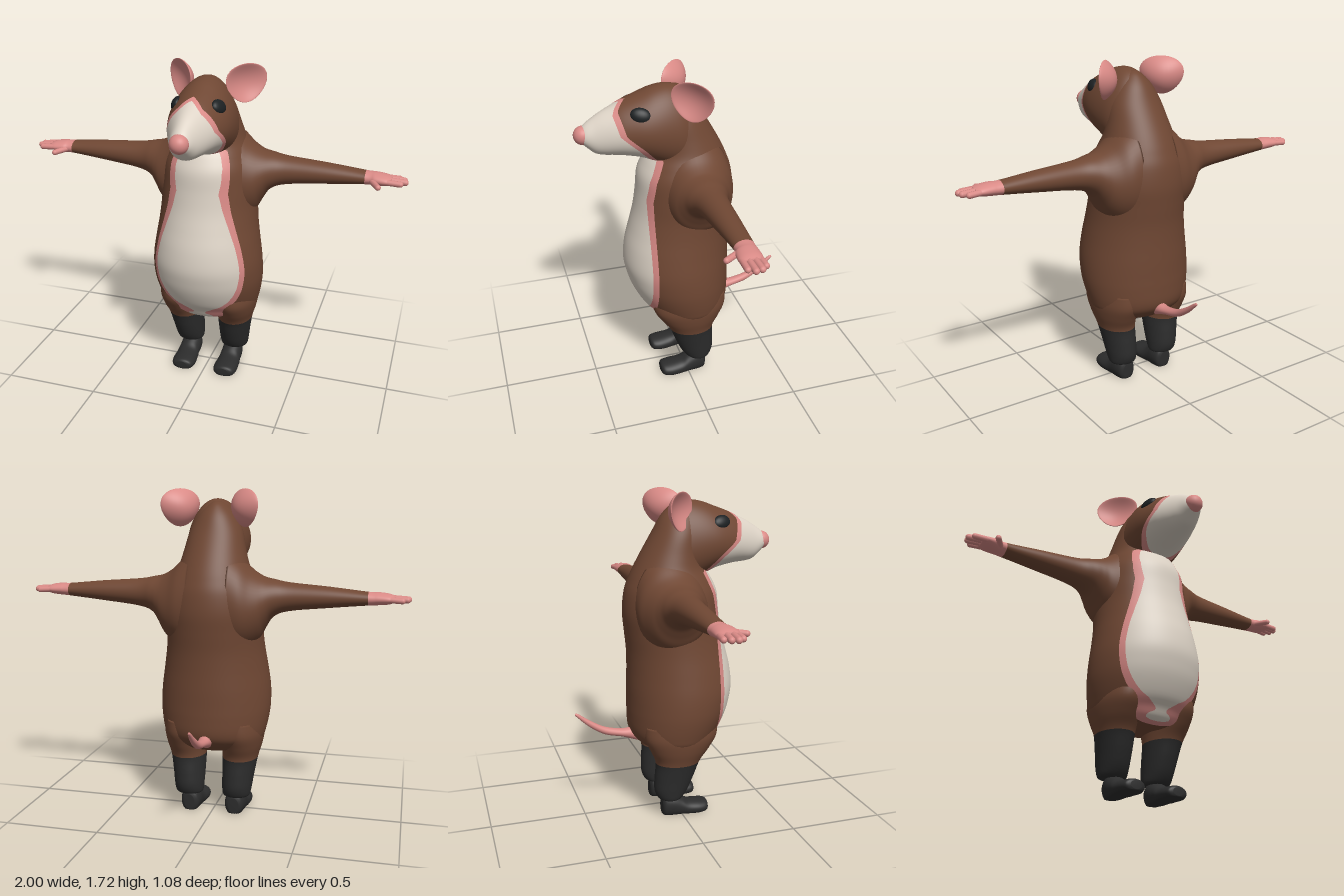
import * as THREE from 'three';

const paint = (name, color) => {
  const m = new THREE.MeshStandardMaterial({ color });
  m.name = name;
  return m;
};

// Piecewise-linear lookup in a list of [input, output] pairs
function lookup(table, t) {
  let i = 0;
  while (i < table.length - 2 && t > table[i + 1][0]) i++;
  const [a, b] = [table[i], table[i + 1]];
  const k = THREE.MathUtils.clamp((t - a[0]) / (b[0] - a[0]), 0, 1);
  return a[1] + (b[1] - a[1]) * k;
}

// Insert Catmull-Rom rows between the given section rows
function smoothRows(rows, steps = 5) {
  const out = [];
  for (let i = 0; i < rows.length - 1; i++) {
    const [p, q, r, s] = [rows[Math.max(i - 1, 0)], rows[i], rows[i + 1], rows[Math.min(i + 2, rows.length - 1)]];
    for (let k = 0; k < steps; k++) {
      const t = k / steps;
      out.push(q.map((c, j) => {
        const cubic = 3 * (c - r[j]) + s[j] - p[j];
        const square = 2 * p[j] - 5 * c + 4 * r[j] - s[j];
        return c + 0.5 * t * (r[j] - p[j] + t * (square + t * cubic));
      }));
    }
  }
  out.push(rows[rows.length - 1]);
  return out;
}

// Closed loft of oval sections. Row = [position on axis, aMax, aMin, bMax, bMin]
// axis 'y': a = z, b = x;  axis 'z': a = y, b = x;  axis 'x': a = y, b = z
function loft(axis, rows, { side = 1, egg = 0, segments = 48 } = {}) {
  const place = {
    x: (t, a, b) => [side * t, a, b],
    y: (t, a, b) => [side * b, t, a],
    z: (t, a, b) => [side * b, a, t],
  }[axis];
  const pos = [], idx = [];
  const add = (t, a, b) => {
    const [x, y, z] = place(t, a, b);
    pos.push(x, Math.max(0, y), z); // soles stay flat on the floor
  };
  const rings = smoothRows(rows);
  for (const [t, a1, a0, b1, b0] of rings) {
    for (let j = 0; j < segments; j++) {
      const u = (j / segments) * Math.PI * 2, s = Math.sin(u);
      add(t, (a1 + a0) / 2 + ((a1 - a0) / 2) * s, (b1 + b0) / 2 + ((b1 - b0) / 2) * Math.cos(u) * (1 - egg * s));
    }
  }
  const n = rings.length, last = (n - 1) * segments;
  for (const r of [rings[0], rings[n - 1]]) add(r[0], (r[1] + r[2]) / 2, (r[3] + r[4]) / 2);
  for (let j = 0; j < segments; j++) {
    const k = (j + 1) % segments;
    for (let i = 0; i < n - 1; i++) {
      const a = i * segments + j, b = i * segments + k;
      idx.push(a, b, b + segments, a, b + segments, a + segments);
    }
    idx.push(n * segments, k, j, n * segments + 1, last + j, last + k);
  }
  // Turn the faces outward if the enclosed volume is negative
  const v = (i) => new THREE.Vector3().fromArray(pos, i * 3);
  let volume = 0;
  for (let i = 0; i < idx.length; i += 3) volume += v(idx[i]).dot(v(idx[i + 1]).cross(v(idx[i + 2])));
  if (volume < 0) idx.reverse();
  const geo = new THREE.BufferGeometry();
  geo.setAttribute('position', new THREE.Float32BufferAttribute(pos, 3));
  geo.setIndex(idx);
  geo.computeVertexNormals();
  return geo;
}

// Keep the part of a polygon where sign * (value - cut) >= 0
function clip(poly, cut, sign) {
  const out = [];
  poly.forEach((p, i) => {
    const q = poly[(i + 1) % poly.length];
    const dp = sign * (p[6] - cut), dq = sign * (q[6] - cut);
    if (dp >= 0) out.push(p);
    if (dp * dq < 0) out.push(p.map((c, j) => c + ((q[j] - c) * dp) / (dp - dq)));
  });
  return out;
}

// Split a surface along level lines of f(x, y, z) into one material group per band
function splitColours(geo, f, cuts) {
  const flat = geo.toNonIndexed(), P = flat.attributes.position, N = flat.attributes.normal;
  const pos = [], nor = [], out = new THREE.BufferGeometry();
  for (let band = 0; band <= cuts.length; band++) {
    const start = pos.length / 3;
    for (let i = 0; i < P.count; i += 3) {
      let poly = [i, i + 1, i + 2].map((k) => {
        const p = [P.getX(k), P.getY(k), P.getZ(k)];
        return [...p, N.getX(k), N.getY(k), N.getZ(k), f(...p)];
      });
      if (band > 0) poly = clip(poly, cuts[band - 1], 1);
      if (band < cuts.length) poly = clip(poly, cuts[band], -1);
      for (let k = 1; k < poly.length - 1; k++) {
        for (const p of [poly[0], poly[k], poly[k + 1]]) {
          pos.push(p[0], p[1], p[2]);
          nor.push(p[3], p[4], p[5]);
        }
      }
    }
    out.addGroup(start, pos.length / 3 - start, band);
  }
  out.setAttribute('position', new THREE.Float32BufferAttribute(pos, 3));
  out.setAttribute('normal', new THREE.Float32BufferAttribute(nor, 3));
  return out;
}

export function createModel() {
  const model = new THREE.Group();
  const brown = paint('brown fur', 0x6f4733), pink = paint('pink skin', 0xd98a86);
  const cream = paint('cream fur', 0xddd3c6), black = paint('black fur', 0x2c2c2c);
  const eyeBlack = paint('eye black', 0x1d2123);
  const add = (name, geo, mat) => {
    const mesh = new THREE.Mesh(geo, mat);
    mesh.name = name;
    model.add(mesh);
    return mesh;
  };

  // Torso and neck: [y, front, back, half width]
  const torso = [
    [0.35, 0.1, -0.1, 0.1], [0.37, 0.16, -0.16, 0.2], [0.42, 0.195, -0.22, 0.26], [0.47, 0.235, -0.245, 0.278],
    [0.55, 0.275, -0.25, 0.292], [0.62, 0.297, -0.25, 0.295], [0.7, 0.31, -0.25, 0.29], [0.8, 0.3, -0.248, 0.275],
    [0.9, 0.275, -0.25, 0.26], [1.0, 0.25, -0.26, 0.252], [1.1, 0.235, -0.268, 0.25], [1.2, 0.225, -0.258, 0.235],
    [1.27, 0.195, -0.235, 0.208], [1.33, 0.16, -0.208, 0.182], [1.4, 0.15, -0.17, 0.162], [1.5, 0.15, -0.112, 0.138],
    [1.58, 0.15, -0.068, 0.1], [1.63, 0.13, -0.025, 0.055], [1.65, 0.1, 0.01, 0.025],
  ].map(([y, f, b, w]) => [y, f, b, w, -w]);
  const bellyEdge = [[0.3, 0.1], [0.355, 0.11], [0.4, 0.155], [0.45, 0.183], [1.1, 0.183], [1.2, 0.165], [1.31, 0.12], [1.4, 0.3]];
  const belly = (x, y, z) => z - lookup(bellyEdge, y);
  add('torso', splitColours(loft('y', torso, { segments: 64 }), belly, [0, 0.026]), [brown, pink, cream]);

  // Head: [z, top, bottom, half width]
  const hx = 0.01; // the head sits slightly to its left
  const head = [
    [-0.07, 1.54, 1.3, 0.08], [-0.03, 1.61, 1.24, 0.125], [0.02, 1.65, 1.23, 0.147], [0.08, 1.664, 1.25, 0.155],
    [0.15, 1.655, 1.28, 0.157], [0.22, 1.63, 1.31, 0.15], [0.3, 1.6, 1.328, 0.128], [0.35, 1.576, 1.334, 0.108],
    [0.4, 1.552, 1.338, 0.086], [0.44, 1.528, 1.35, 0.069], [0.48, 1.5, 1.385, 0.052], [0.505, 1.475, 1.41, 0.035],
  ].map(([z, t, b, w]) => [z, t, b, hx + w, hx - w]);
  const maskEdge = [[1.25, 0.12], [1.31, 0.15], [1.385, 0.215], [1.46, 0.3], [1.57, 0.33], [1.66, 0.33]];
  const mask = (x, y, z) => z - lookup(maskEdge, y) + (y > 1.5 ? 0.05 * Math.max(0, 1 - Math.abs(x - hx) / 0.06) : 0);
  add('head', splitColours(loft('z', head, { egg: 0.15, segments: 64 }), mask, [0, 0.03]), [brown, pink, cream]);
  add('nose', new THREE.SphereGeometry(0.047, 28, 20), pink).position.set(hx, 1.443, 0.491);

  // Tail, curving up to a point: [z, top, bottom, half width]
  const tail = [
    [-0.16, 0.45, 0.38, 0.03], [-0.22, 0.47, 0.4, 0.034], [-0.29, 0.467, 0.424, 0.027], [-0.38, 0.488, 0.446, 0.021],
    [-0.46, 0.532, 0.495, 0.015], [-0.52, 0.574, 0.55, 0.009], [-0.537, 0.576, 0.568, 0.004],
  ].map(([z, t, b, w]) => [z, t, b, w, -w]);
  add('tail', loft('z', tail, { segments: 20 }), pink);

  // Arm sections: [x, top, bottom, front, back]
  const arm = [
    [0.1, 1.4, 0.88, 0.12, -0.235], [0.16, 1.355, 0.9, 0.13, -0.23], [0.21, 1.31, 0.925, 0.12, -0.21],
    [0.25, 1.284, 0.965, 0.105, -0.19], [0.28, 1.272, 1.02, 0.085, -0.17], [0.32, 1.264, 1.075, 0.06, -0.148],
    [0.4, 1.25, 1.105, 0.03, -0.123], [0.6, 1.234, 1.128, 0.01, -0.11], [0.79, 1.215, 1.147, -0.003, -0.1],
    [0.84, 1.214, 1.15, 0.008, -0.1], [0.89, 1.208, 1.155, 0.012, -0.1], [0.92, 1.198, 1.165, 0.005, -0.09],
  ];
  // Leg: [y, front, back, outer x, inner x]
  const leg = [
    [0.095, -0.012, -0.108, 0.185, 0.07], [0.105, 0.008, -0.128, 0.203, 0.056], [0.15, 0.038, -0.144, 0.212, 0.052],
    [0.22, 0.068, -0.143, 0.222, 0.05], [0.31, 0.102, -0.14, 0.238, 0.048], [0.38, 0.15, -0.17, 0.258, 0.045],
    [0.45, 0.19, -0.2, 0.268, 0.04], [0.52, 0.19, -0.2, 0.26, 0.05],
  ];
  // Foot: [z, top, bottom, outer x, inner x]
  const foot = [
    [0.152, 0.045, 0.005, 0.15, 0.09], [0.14, 0.056, -0.01, 0.175, 0.066], [0.1, 0.062, -0.02, 0.186, 0.056],
    [0.04, 0.07, -0.02, 0.184, 0.06], [0.0, 0.094, -0.02, 0.18, 0.065], [-0.05, 0.12, -0.02, 0.178, 0.066],
    [-0.09, 0.11, -0.015, 0.168, 0.075], [-0.103, 0.085, 0.005, 0.15, 0.095],
  ];
  // Digits: start, tip, radius
  const digits = [
    [[0.88, 1.182, -0.082], [0.955, 1.178, -0.088], 0.015], [[0.88, 1.186, -0.055], [0.978, 1.18, -0.062], 0.016],
    [[0.88, 1.186, -0.028], [0.984, 1.18, -0.032], 0.016], [[0.88, 1.182, -0.004], [0.962, 1.178, -0.004], 0.015],
    [[0.825, 1.176, -0.01], [0.862, 1.172, 0.053], 0.015],
  ];

  for (const side of [1, -1]) {
    const label = side > 0 ? 'left' : 'right';
    add(label + 'Arm', splitColours(loft('x', arm, { side }), (x) => Math.abs(x), [0.79]), [brown, pink]);
    add(label + 'Leg', splitColours(loft('y', leg, { side }), (x, y) => -y, [-0.305]), [brown, black]);
    add(label + 'Foot', loft('z', foot, { side }), black);

    digits.forEach(([from, to, r], i) => {
      const a = new THREE.Vector3(from[0] * side, from[1], from[2]), b = new THREE.Vector3(to[0] * side, to[1], to[2]);
      const dir = b.clone().sub(a);
      const mesh = add(label + (i < 4 ? 'Finger' : 'Thumb'), new THREE.CapsuleGeometry(r, dir.length(), 6, 12), pink);
      mesh.position.copy(a).add(b).multiplyScalar(0.5);
      mesh.quaternion.setFromUnitVectors(new THREE.Vector3(0, 1, 0), dir.normalize());
    });

    // Ear: thin cupped disc, narrower at its root
    const ear = new THREE.SphereGeometry(1, 32, 24), p = ear.attributes.position;
    for (let i = 0; i < p.count; i++) {
      const [x, y, z] = [p.getX(i), p.getY(i), p.getZ(i)];
      p.setXYZ(i, 0.113 * x * (1 + 0.2 * y), 0.097 * y, 0.016 * z + 0.045 * (x * x + y * y) - 0.025);
    }
    ear.computeVertexNormals();
    const earMesh = add(label + 'Ear', ear, pink);
    earMesh.position.set(0.016 + side * 0.157, 1.618, -0.018);
    earMesh.rotation.y = side * 0.78;

    // Eye: flattened ball lying along the cheek
    const eye = add(label + 'Eye', new THREE.SphereGeometry(1, 24, 18), eyeBlack);
    eye.scale.set(0.022, 0.036, 0.05);
    eye.position.set(hx + side * 0.106, 1.555, 0.228);
    eye.rotation.set(-0.2, -side * 0.3, side * 0.4);
  }
  return model;
}
